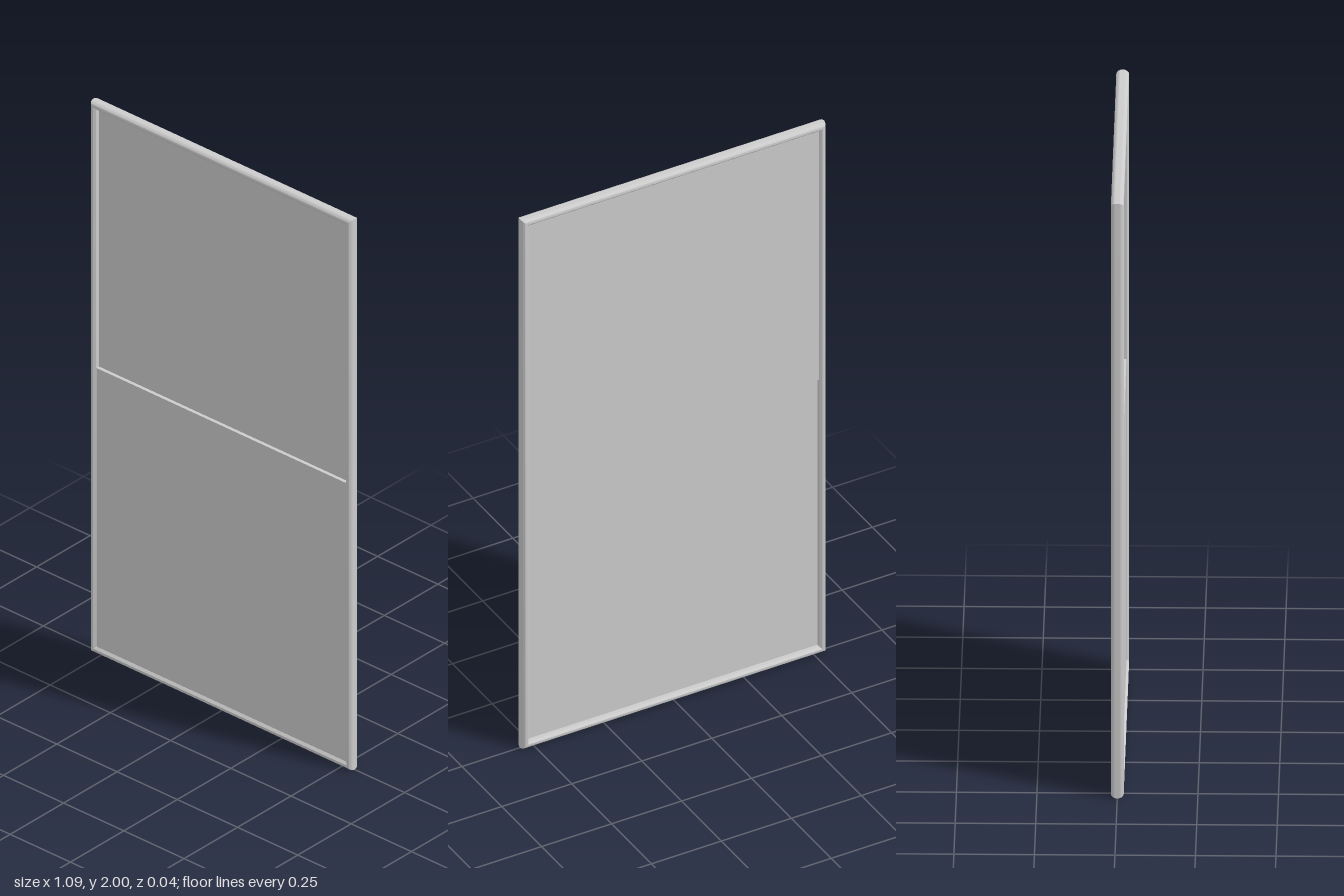
import * as THREE from 'three';
import { toCreasedNormals } from 'three/addons/utils/BufferGeometryUtils.js';

const W = 0.543, H = 2, D = 0.02; // half width, height, half depth
const material = new THREE.MeshStandardMaterial({ color: 0xcccccc });

// Frame section as [inset from the outer edge, z], rounded outside, softly bevelled inside
function frameSection() {
  const pts = [];
  for (let i = 0; i <= 8; i++) {
    const a = (i / 8) * Math.PI;
    pts.push([0.011 * (1 - Math.sin(a)), D * Math.cos(a)]);
  }
  pts.push([0.017, -D], [0.024, -0.013], [0.024, 0.013], [0.017, D]);
  return pts;
}

// Sweep the section around the rectangle with mitred corners
function frameGeometry() {
  const section = frameSection(), n = section.length;
  const corners = [[-1, 0], [1, 0], [1, 1], [-1, 1]];
  const pos = [], index = [];
  for (const [sx, top] of corners) {
    for (const [inset, z] of section) {
      pos.push(sx * (W - inset), top ? H - inset : inset, z);
    }
  }
  for (let c = 0; c < 4; c++) {
    for (let i = 0; i < n; i++) {
      const a = c * n + i, b = c * n + (i + 1) % n;
      const d = ((c + 1) % 4) * n + i, e = ((c + 1) % 4) * n + (i + 1) % n;
      index.push(a, b, d, b, e, d);
    }
  }
  const g = new THREE.BufferGeometry();
  g.setAttribute('position', new THREE.Float32BufferAttribute(pos, 3));
  g.setIndex(index);
  return toCreasedNormals(g, 0.6);
}

function panel(name, y0, y1, z) {
  const mesh = new THREE.Mesh(new THREE.BoxGeometry(2 * (W - 0.015), y1 - y0, 0.012), material);
  mesh.position.set(0, (y0 + y1) / 2, z);
  mesh.name = name;
  return mesh;
}

export function createModel() {
  const model = new THREE.Group();
  model.name = 'slidingWindow';

  const frame = new THREE.Mesh(frameGeometry(), material);
  frame.name = 'frame';
  model.add(frame);

  // Two stepped panels: the lower one sits in front of the upper one
  model.add(panel('lowerPanel', 0.015, 1.036, 0.006));
  model.add(panel('upperPanel', 1.034, H - 0.015, -0.006));
  return model;
}
